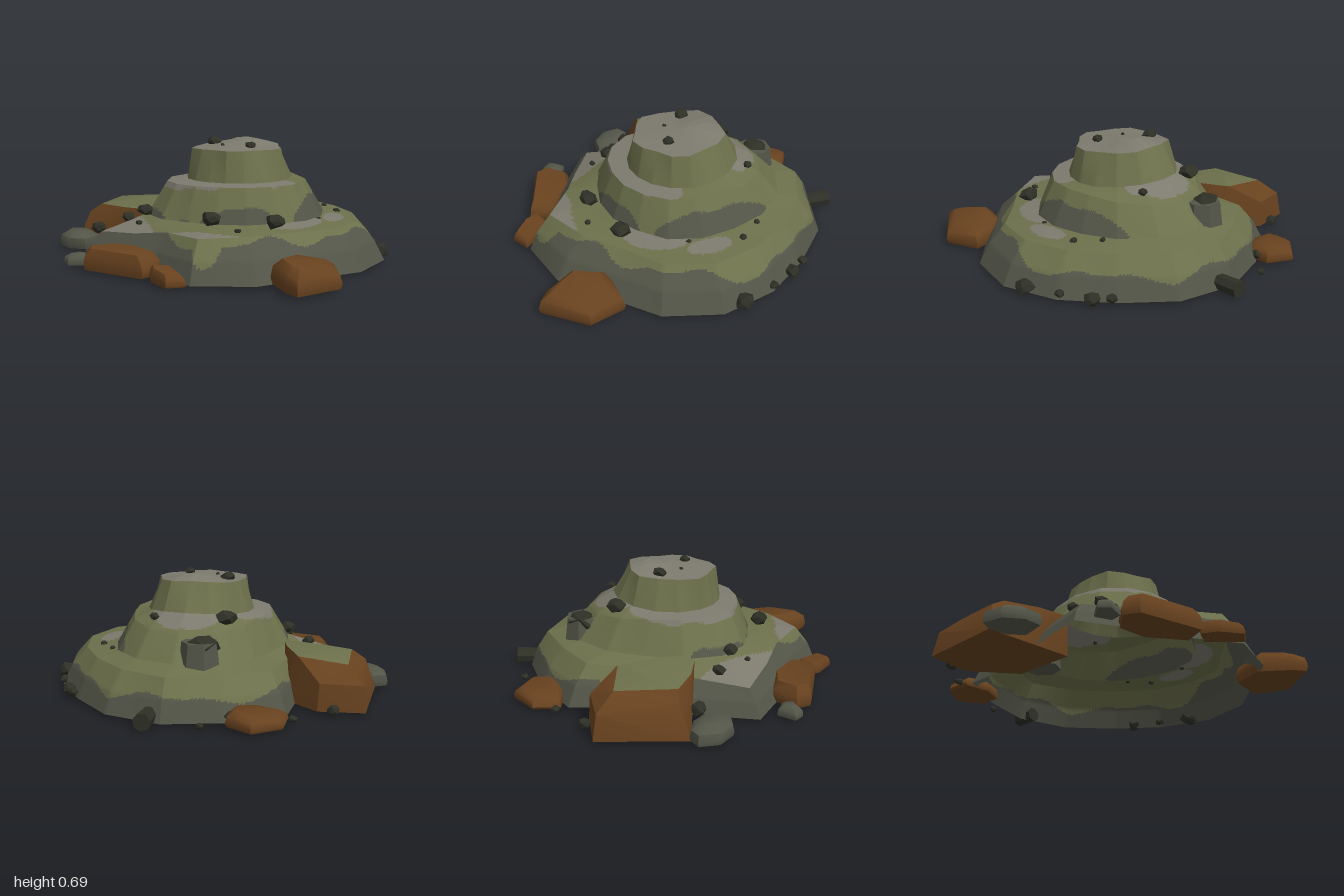
import * as THREE from 'three';
import { toCreasedNormals } from 'three/addons/utils/BufferGeometryUtils.js';
import { ConvexGeometry } from 'three/addons/geometries/ConvexGeometry.js';

const mat = (name, color, side = THREE.FrontSide) => {
  const m = new THREE.MeshStandardMaterial({ color, side });
  m.name = name;
  return m;
};

// Sorts triangles into material groups by a rule on centroid, normal and index
function paint(geometry, count, rule) {
  const src = geometry.index ? geometry.toNonIndexed() : geometry;
  const p = src.attributes.position;
  const buckets = Array.from({ length: count }, () => []);
  const t = new THREE.Triangle(), c = new THREE.Vector3(), n = new THREE.Vector3();
  for (let i = 0; i < p.count; i += 3) {
    t.setFromAttributeAndIndices(p, i, i + 1, i + 2);
    t.getMidpoint(c);
    t.getNormal(n);
    buckets[rule(c, n, i / 3)].push(...t.a.toArray(), ...t.b.toArray(), ...t.c.toArray());
  }
  const out = new THREE.BufferGeometry();
  out.setAttribute('position', new THREE.Float32BufferAttribute(buckets.flat(), 3));
  let start = 0;
  buckets.forEach((b, k) => {
    if (b.length) out.addGroup(start, b.length / 3, k);
    start += b.length / 3;
  });
  return out;
}

function seeded(seed) {
  return () => {
    seed = (seed * 16807) % 2147483647;
    return seed / 2147483647;
  };
}

// Outlines of the mound: 16 radii from +x towards +z
const CX = 0.12;
const BASE = [.87, .85, .79, .86, .89, .76, .8, .93, .74, .69, .88, .86, .89, .87, .82, .84];
const RIM = [.71, .69, .62, .67, .76, .65, .69, .82, .62, .6, .73, .72, .78, .73, .69, .69];
const FOOT = [.5, .49, .46, .46, .46, .47, .52, .55, .53, .51, .57, .62, .64, .61, .56, .51];
const LEDGE = [.39, .39, .38, .38, .38, .4, .42, .43, .42, .42, .46, .5, .51, .49, .45, .4];

// The ledges change height towards the back, and the rim dips at the front right
const back = a => Math.max(0, -Math.sin(a)) ** 2;
const dip = a => Math.max(0, Math.cos(a - 2.75)) ** 6;

// Rings from the ground to the summit, as radius and height by angle, with rows up to the next ring
const RINGS = [
  { r: (a, i) => BASE[i], y: () => .015, rows: 9 },
  { r: (a, i) => BASE[i] * .62 + RIM[i] * .38, y: a => .13 - .04 * dip(a), rows: 10 },
  { r: (a, i) => RIM[i], y: a => .235 - .075 * dip(a), rows: 10 },
  { r: (a, i) => FOOT[i], y: a => .255 + .015 * back(a), rows: 12 },
  { r: (a, i) => LEDGE[i], y: a => .45 - .04 * back(a), rows: 6 },
  { r: a => .31 - .01 * Math.cos(a) - .03 * Math.sin(a) + .03 * back(a), y: a => .46 + .035 * back(a), rows: 4 },
  { r: a => .26 - .015 * Math.cos(a) - .02 * Math.sin(a) + .018 * Math.cos(5 * a - 1), y: a => .64 + .02 * back(a), rows: 1 },
  { r: a => .13 + .03 * back(a), y: a => .648 + .042 * back(a), rows: 1 },
  { r: () => 0, y: () => .66, rows: 0 }
];

function moundPoint(ring, u) {
  const corner = k => {
    const a = k * Math.PI / 8, r = ring.r(a, k % 16), turned = a - .09 * dip(a);
    return new THREE.Vector3(CX + r * Math.cos(turned), ring.y(a), r * Math.sin(turned));
  };
  const k = Math.floor(u);
  return corner(k).lerp(corner(k + 1), u - k);
}

function moundGeometry() {
  const N = 256, pos = [], bands = [];
  const point = (b, f, j) => {
    const u = (j % N) * 16 / N;
    return moundPoint(RINGS[b], u).lerp(moundPoint(RINGS[b + 1], u), f);
  };
  for (let b = 0; b < RINGS.length - 1; b++)
    for (let s = 0, rows = RINGS[b].rows; s < rows; s++)
      for (let j = 0; j < N; j++) {
        const low = s / rows, high = (s + 1) / rows;
        const p = point(b, low, j), q = point(b, low, j + 1), v = point(b, high, j), w = point(b, high, j + 1);
        const tris = b === RINGS.length - 2 ? [p, v, q] : [p, v, q, q, v, w];
        for (const t of tris) pos.push(t.x, t.y, t.z);
        for (let k = 0; k < tris.length; k += 3) bands.push(b);
      }
  const g = new THREE.BufferGeometry();
  g.setAttribute('position', new THREE.Float32BufferAttribute(pos, 3));

  // 0 moss, 1 dark stone, 2 pale stone
  const rule = (c, n, tri) => {
    const a = (Math.atan2(c.z, c.x - CX) + 2 * Math.PI) % (2 * Math.PI);
    const deg = a * 180 / Math.PI, r = Math.hypot(c.x - CX, c.z);
    const wave = Math.sin(a * 7) + .6 * Math.sin(a * 13 + 1);
    const patch = (centre, half) => {
      const d = Math.abs((deg - centre + 540) % 360 - 180) / half;
      return Math.sqrt(Math.max(0, 1 - d * d));
    };
    const band = bands[tri];
    if (band < 2) {
      const line = .165 + .035 * Math.tanh(4 * Math.sin(a + .1)) + .022 * wave;
      return c.y < line + .05 * patch(145, 30) - .1 * patch(86, 5) ? 1 : 0;
    }
    if (band === 2) {
      const rimPatch = r > .78 - .2 * patch(145, 33) || r > .78 - .14 * patch(95, 34) + .015 * wave;
      const innerPatch = Math.abs(r - .57) < .06 * patch(358, 13) || r < .45 + .13 * patch(32, 26);
      return deg > 55 && deg < 180 ? (rimPatch ? 2 : 0) : innerPatch ? 2 : 0;
    }
    if (band === 3) {
      const line = .25 + .13 * patch(350, 42) + .09 * patch(72, 30) + .05 * patch(150, 22);
      if (c.y < line + .008 * wave) return 1;
      return c.y > .455 - .035 * patch(150, 60) + .008 * wave ? 2 : 0;
    }
    if (band === 4) {
      const width = .02 + .14 * Math.max(patch(120, 110), patch(268, 40));
      return r < .31 + width + .01 * wave && width > .03 ? 2 : 0;
    }
    return band === 5 ? 0 : 2;
  };
  return toCreasedNormals(paint(g, 3, rule), .45);
}

// Boulder from an [x, z] outline: foot, bulging middle and smaller, tilted top
function boulder(outline, h, shrink, tilt = 0) {
  const cx = outline.reduce((s, p) => s + p[0], 0) / outline.length;
  const cz = outline.reduce((s, p) => s + p[1], 0) / outline.length;
  const pts = [];
  for (const [k, y] of [[.95, .015], [1, h * .35], [.93, h * .72], [shrink, h]])
    for (const [x, z] of outline) {
      const dx = (x - cx) * k, dz = (z - cz) * k;
      pts.push(new THREE.Vector3(cx + dx, y + tilt * dx * y / h, cz + dz));
    }
  return toCreasedNormals(new ConvexGeometry(pts), .8);
}

// Irregular small stone
function stone(r, seed) {
  const rnd = seeded(seed * 7919 + 13), pts = [];
  for (let i = 0; i < 16; i++) {
    const y = 1 - 2 * (i + .5) / 16, a = i * 2.4, q = Math.sqrt(1 - y * y), k = r * (.8 + .4 * rnd());
    pts.push(new THREE.Vector3(Math.cos(a) * q * k, y * k * .8, Math.sin(a) * q * k));
  }
  return new ConvexGeometry(pts);
}

export function createModel() {
  const model = new THREE.Group();
  model.name = 'terracedRockMound';
  const moss = mat('moss', 0x6c704b, THREE.DoubleSide);
  const dark = mat('darkStone', 0x535548, THREE.DoubleSide);
  const pale = mat('paleStone', 0x7d7a6e, THREE.DoubleSide);
  const brown = mat('brownRock', 0x68421f);
  const black = mat('blackStone', 0x2e3026);
  const add = (name, geometry, material) => {
    const m = new THREE.Mesh(geometry, material);
    m.name = name;
    model.add(m);
    return m;
  };

  add('mound', moundGeometry(), [moss, dark, pale]);

  // Large boulder with a mossy top
  const big = new ConvexGeometry([
    [-.93, .015, .04], [-.91, .015, -.47], [-.65, .015, -.5], [-.4, .015, -.3], [-.4, .015, .08], [-.6, .015, .06],
    [-.89, .16, -.45], [-.87, .2, -.02], [-.66, .17, -.49],
    [-.79, .25, -.02], [-.8, .25, -.36], [-.52, .275, -.34], [-.42, .275, -.12], [-.38, .265, .05], [-.42, .25, .09], [-.6, .25, .06]
  ].map(p => new THREE.Vector3(...p)));
  add('mossyBoulder', toCreasedNormals(paint(big, 2, (c, n) => (n.y > .85 ? 0 : 1)), .6), [moss, brown]);

  // Brown boulders around the foot
  add('frontRightBoulder', boulder([[-.59, .65], [-.48, .53], [-.3, .55], [-.1, .7], [-.16, .84], [-.4, .76], [-.55, .74]], .135, .78), brown);
  add('frontSmallBoulder', boulder([[-.14, .79], [-.04, .74], [.11, .91], [.02, .97], [-.1, .88]], .085, .75, -.1), brown);
  add('frontLeftBoulder', boulder([[.5, .72], [.57, .52], [.8, .49], [.87, .7], [.69, .94], [.62, .89]], .14, .65, -.12), brown);
  add('backBoulder', boulder([[-.52, -.66], [-.52, -.82], [-.37, -.94], [-.22, -.86], [-.22, -.72], [-.35, -.65]], .09, .7, .1), brown);

  // Grey stones on the ground
  add('greyBoulder', boulder([[-1, .07], [-.93, .03], [-.82, .05], [-.74, .12], [-.77, .27], [-.88, .27], [-.98, .19]], .11, .5), dark);
  add('smallGreyBoulder', boulder([[-.73, .62], [-.66, .53], [-.57, .57], [-.58, .64], [-.68, .67]], .075, .5), dark);

  // Stump-like rock on the back terrace and the short block behind
  const stump = toCreasedNormals(new THREE.CylinderGeometry(.1, .12, .15, 7), .3);
  add('backStump', stump, dark).position.set(-.01, .31, -.55);
  const block = add('backBlock', toCreasedNormals(new THREE.CylinderGeometry(.045, .05, .14, 7), .3), black);
  block.rotation.x = Math.PI / 2;
  block.position.set(.19, .05, -.91);

  // Scattered pebbles: x, y, z, radius
  [
    [-.02, .355, -.55, .09], [-.11, .48, -.35, .06], [-.06, .66, -.09, .042], [.21, .66, .07, .032],
    [.12, .3, .53, .055], [.45, .285, .42, .055], [-.36, .29, .3, .045], [-.5, .225, .22, .038],
    [.67, .25, -.22, .022], [-.76, .12, .09, .05], [-.74, .035, -.52, .036], [.95, .045, -.13, .055],
    [.79, .04, -.48, .045], [.3, .47, -.38, .026], [-.24, .045, -.78, .04], [-.55, .03, -.69, .025],
    [.73, .05, -.57, .03], [.28, .25, .57, .02], [.62, .25, .08, .016], [-.1, .03, -.91, .022],
    [-.36, .23, .4, .02], [.03, .655, .04, .012], [.57, .26, -.34, .018], [.88, .05, -.33, .03]
  ].forEach(([x, y, z, r], i) => add('pebble', stone(r, i + 1), black).position.set(x, y, z));

  return model;
}
